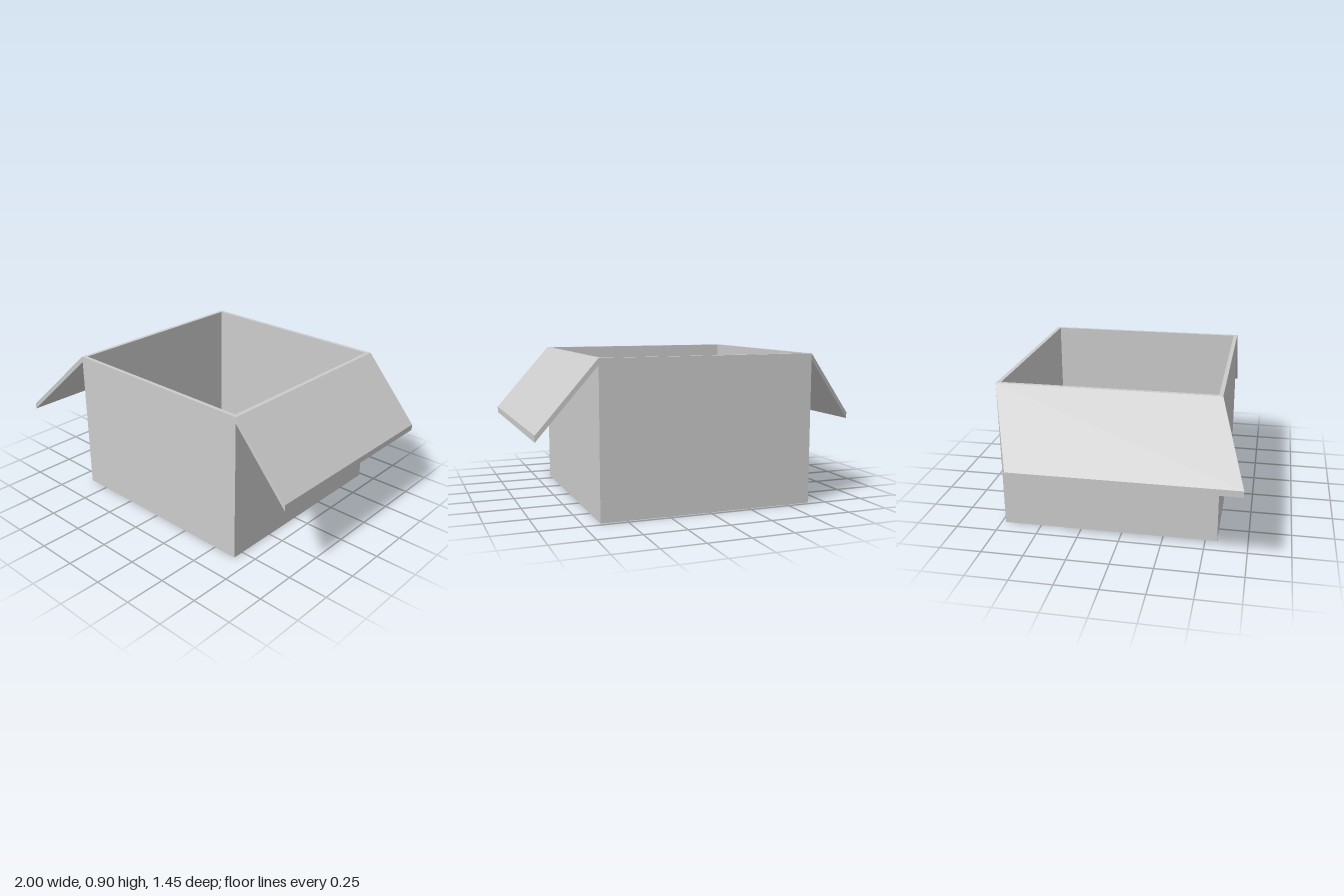
import * as THREE from 'three';

const material = new THREE.MeshStandardMaterial({ color: 0xcccccc, flatShading: true });

// Outer limits of the carton, and its wall thickness
const X0 = -0.645, X1 = 0.652, Z0 = -0.725, Z1 = 0.57, H = 0.9, T = 0.024;

function rectangle(path, x0, x1, y0, y1) {
  path.moveTo(x0, y0);
  path.lineTo(x1, y0);
  path.lineTo(x1, y1);
  path.lineTo(x0, y1);
  path.closePath();
  return path;
}

function part(name, geometry) {
  const mesh = new THREE.Mesh(geometry, material);
  mesh.name = name;
  return mesh;
}

// Sloping flap: a unit box whose outer end drops to tipY and slides along z
function flap(name, hingeX, tipX, tipY, slide) {
  const geometry = new THREE.BoxGeometry(1, 1, 1);
  const p = geometry.attributes.position;
  const side = Math.sign(tipX);
  for (let i = 0; i < p.count; i++) {
    const t = p.getX(i) * side + 0.5; // 0 at the hinge, 1 at the tip
    const x = THREE.MathUtils.lerp(hingeX, tipX, t);
    const y = THREE.MathUtils.lerp(H, tipY, t) - (p.getY(i) < 0 ? 0.037 : 0);
    const z = (p.getZ(i) < 0 ? Z0 : Z1) + slide * t;
    p.setXYZ(i, x, y, z);
  }
  geometry.computeVertexNormals();
  return part(name, geometry);
}

export function createModel() {
  const group = new THREE.Group();
  group.name = 'openCarton';

  // Four walls as one open frame
  const outline = rectangle(new THREE.Shape(), X0, X1, -Z1, -Z0);
  outline.holes.push(rectangle(new THREE.Path(), X0 + T, X1 - T, -Z1 + T, -Z0 - T));
  const walls = new THREE.ExtrudeGeometry(outline, { depth: H, bevelEnabled: false });
  walls.rotateX(-Math.PI / 2);
  group.add(part('walls', walls));

  // Floor set inside the walls
  const floor = new THREE.BoxGeometry(X1 - X0 - 2 * T, T, Z1 - Z0 - 2 * T);
  floor.translate((X0 + X1) / 2, T / 2, (Z0 + Z1) / 2);
  group.add(part('floor', floor));

  // Side flaps; the one on the right is skewed forward
  group.add(flap('leftFlap', X1, 1, 0.505, 0));
  group.add(flap('rightFlap', X0, -1, 0.515, 0.15));
  return group;
}
